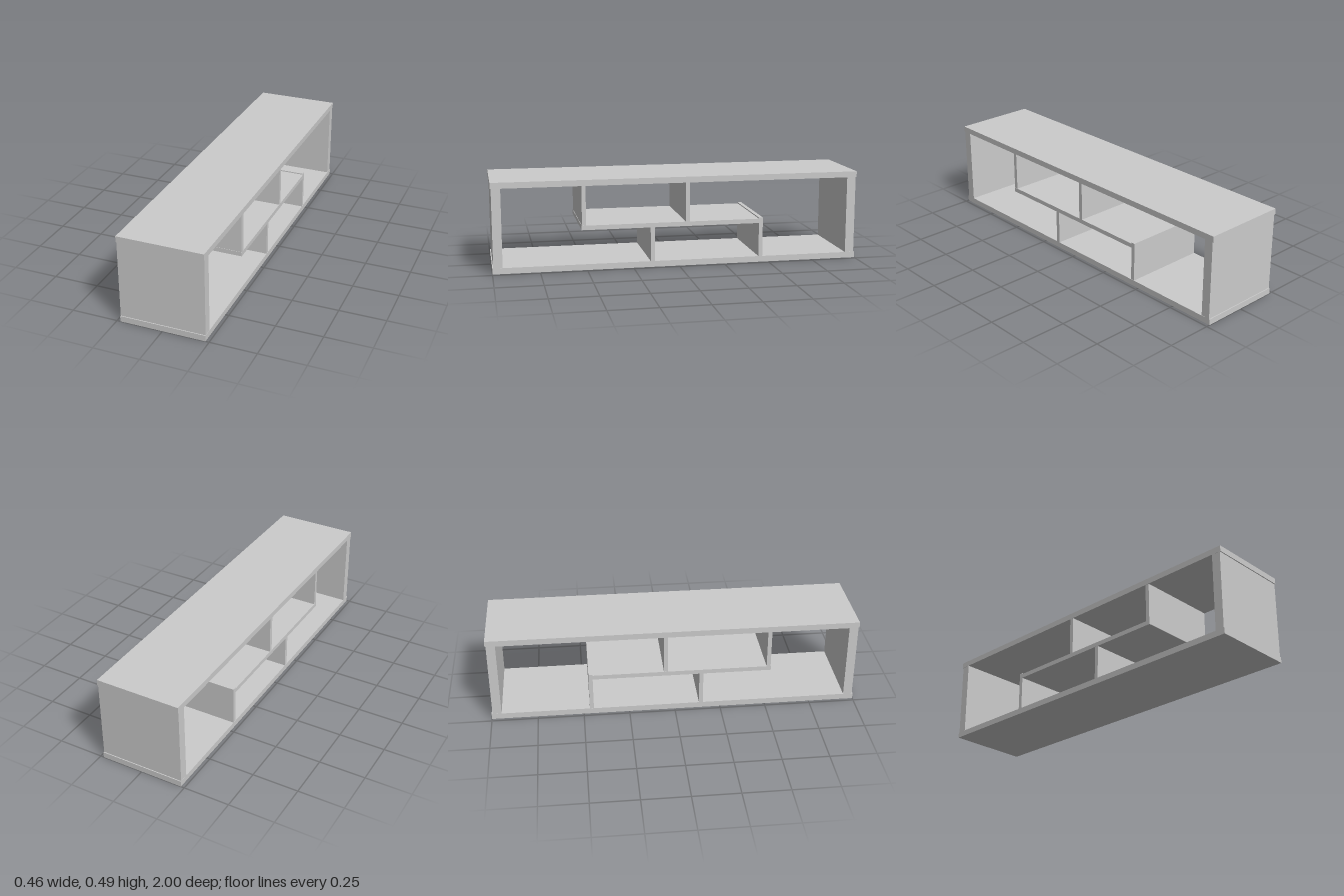
import * as THREE from 'three';

export function createModel() {
  const group = new THREE.Group();
  const material = new THREE.MeshStandardMaterial({ color: 0xcccccc, flatShading: true });

  // A board spanning the given height and length ranges, centred on x
  function board(name, width, y0, y1, z0, z1) {
    const mesh = new THREE.Mesh(new THREE.BoxGeometry(width, y1 - y0, z1 - z0), material);
    mesh.position.set(0, (y0 + y1) / 2, (z0 + z1) / 2);
    mesh.name = name;
    group.add(mesh);
  }

  const W = 0.462, inner = 0.46;
  const H = 0.487, T = 0.032;
  const shelfBottom = 0.218, shelfTop = 0.242;

  // Outer case
  board('bottomBoard', W, 0, T, -1, 1);
  board('topBoard', W, H - T, H, -1, 1);
  board('frontEndPanel', inner, T, H - T, 0.946, 0.995);
  board('backEndPanel', inner, T, H - T, -0.995, -0.946);

  // Middle shelf
  board('middleShelf', W, shelfBottom, shelfTop, -0.445, 0.527);

  // Upper dividers hang from the top, lower ones stand on the bottom
  board('upperFrontDivider', inner, shelfTop, H - T, 0.503, 0.525);
  board('upperBackDivider', inner, shelfTop, H - T, -0.059, -0.037);
  board('lowerFrontDivider', inner, T, shelfBottom, 0.134, 0.156);
  board('lowerBackDivider', inner, T, 0.248, -0.467, -0.445);

  return group;
}
